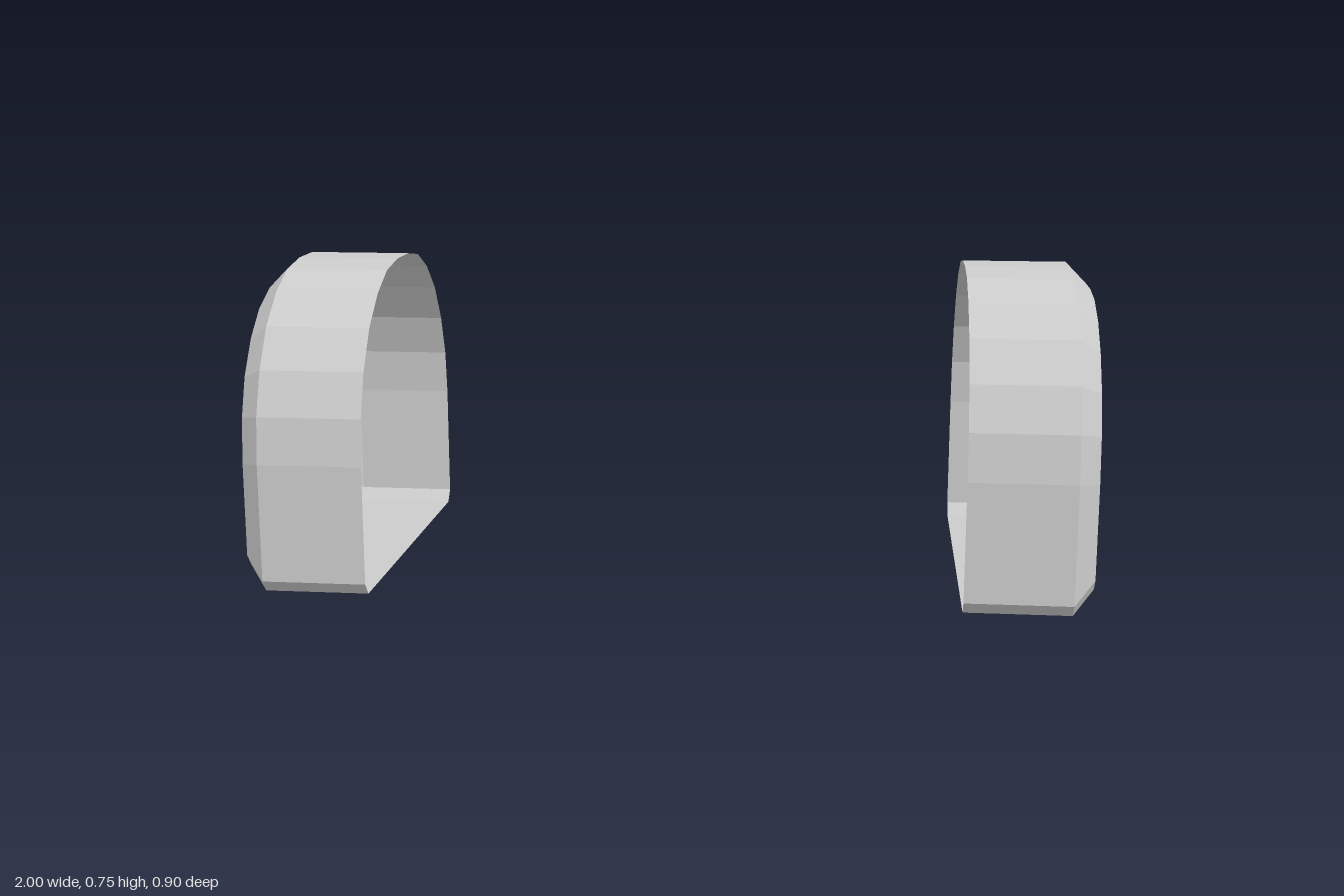
import * as THREE from 'three';

// Half outlines as [z, y], from the base corner up to the crown
const OUTER = [[0.425, 0], [0.45, 0.03], [0.45, 0.315], [0.437, 0.427], [0.398, 0.531],
  [0.335, 0.625], [0.25, 0.695], [0.156, 0.739], [0.053, 0.754]];
const INNER = [[0.381, 0.051], [0.405, 0.08], [0.405, 0.305], [0.393, 0.415], [0.36, 0.508],
  [0.303, 0.59], [0.231, 0.652], [0.146, 0.69], [0.053, 0.703]];

// Closed arch section at a given x, mirrored across z
function section(half, x) {
  const mirrored = half.map(([z, y]) => [-z, y]).reverse();
  return [...half, ...mirrored].map(([z, y]) => [x, y, z]);
}

// Thin cup: straight wall, bevel and flat outer face, open towards the middle
function createCupGeometry() {
  const rings = [section(OUTER, 0.7), section(OUTER, 0.95), section(INNER, 1)];
  const n = rings[0].length;
  const positions = [];
  const tri = (...corners) => corners.forEach((c) => positions.push(...c));

  for (let i = 0; i < n; i++) {
    const j = (i + 1) % n;
    for (let r = 0; r < rings.length - 1; r++) {
      const [a, b] = [rings[r], rings[r + 1]];
      tri(a[i], b[i], b[j]);
      tri(a[i], b[j], a[j]);
    }
    tri([1, 0.35, 0], rings[2][j], rings[2][i]);
  }

  const geometry = new THREE.BufferGeometry();
  geometry.setAttribute('position', new THREE.Float32BufferAttribute(positions, 3));
  geometry.computeVertexNormals();
  return geometry;
}

export function createModel() {
  const group = new THREE.Group();
  group.name = 'cupPair';
  const material = new THREE.MeshStandardMaterial({
    color: 0xcccccc, flatShading: true, side: THREE.DoubleSide,
  });
  const geometry = createCupGeometry();

  // The cup is symmetric in z, so a half turn gives its mirror image
  for (const [name, turn] of [['leftCup', 0], ['rightCup', Math.PI]]) {
    const cup = new THREE.Mesh(geometry, material);
    cup.name = name;
    cup.rotation.y = turn;
    group.add(cup);
  }
  return group;
}
